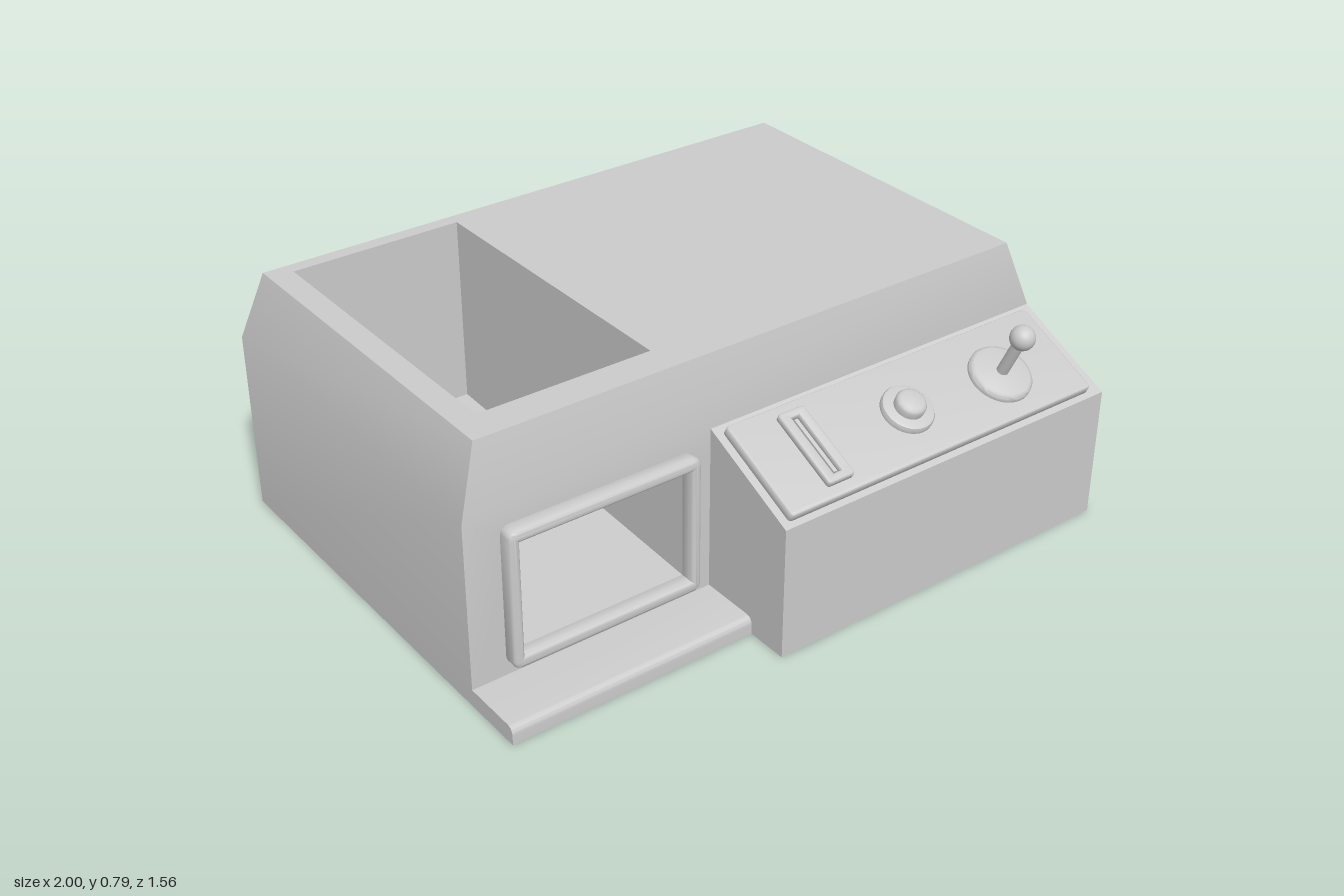
import * as THREE from 'three';
import { mergeGeometries, toCreasedNormals } from 'three/addons/utils/BufferGeometryUtils.js';

const grey = new THREE.MeshStandardMaterial({ color: 0xcccccc });

function add(parent, name, geometry, x = 0, y = 0, z = 0) {
  const mesh = new THREE.Mesh(geometry, grey);
  mesh.name = name;
  mesh.position.set(x, y, z);
  parent.add(mesh);
  return mesh;
}

// Four corners, counter-clockwise as seen from the visible side
function quad(a, b, c, d) {
  const g = new THREE.BufferGeometry();
  g.setAttribute('position', new THREE.Float32BufferAttribute([a, b, c, a, c, d].flat(), 3));
  return g;
}

// Flat rectangle [x0, y0, x1, y1] with a rectangular hole
function rectPath(path, [x0, y0, x1, y1], r = 0) {
  if (!r) {
    path.moveTo(x0, y0).lineTo(x1, y0).lineTo(x1, y1).lineTo(x0, y1).closePath();
    return path;
  }
  path.moveTo(x0 + r, y0).lineTo(x1 - r, y0).quadraticCurveTo(x1, y0, x1, y0 + r);
  path.lineTo(x1, y1 - r).quadraticCurveTo(x1, y1, x1 - r, y1);
  path.lineTo(x0 + r, y1).quadraticCurveTo(x0, y1, x0, y1 - r);
  path.lineTo(x0, y0 + r).quadraticCurveTo(x0, y0, x0 + r, y0);
  return path;
}

function holedRect(outer, hole, r = 0) {
  const s = rectPath(new THREE.Shape(), outer, r);
  s.holes.push(rectPath(new THREE.Path(), hole));
  return s;
}

function plain(g) {
  const p = g.toNonIndexed();
  p.deleteAttribute('uv');
  p.deleteAttribute('normal');
  return p;
}

function bevelled(shape, height, bevel) {
  const g = new THREE.ExtrudeGeometry(shape, {
    depth: height - bevel, bevelThickness: bevel, bevelSize: bevel,
    bevelOffset: -bevel, bevelSegments: 4, curveSegments: 6,
  });
  return toCreasedNormals(g, 0.6);
}

// Side profile in (z, y), extruded from x0 to x1
function alongX(shape, x0, x1) {
  const g = new THREE.ExtrudeGeometry(shape, { depth: x1 - x0, bevelEnabled: false, curveSegments: 8 });
  g.rotateY(-Math.PI / 2).translate(x1, 0, 0);
  return toCreasedNormals(g, 0.6);
}

function lathe(points) {
  const g = new THREE.LatheGeometry(points.map(([r, y]) => new THREE.Vector2(r, y)), 40);
  return toCreasedNormals(g, 0.7);
}

// Cabinet shell with tapered top, prize shaft and delivery opening
function cabinetGeometry() {
  const H = 0.785, S = 0.578, B = -0.778, F = 0.45;
  const tb = -0.735, tf = 0.41, tx = 0.93;
  const x0 = -0.855, x1 = -0.305, sb = -0.69, sf = 0.305;
  const low = 0.13, lowBack = 0.18, wy = 0.49;
  const floorY = (z) => low + (lowBack - low) * (F - z) / (F - sb);

  const front = new THREE.ShapeGeometry(holedRect([-1, 0, 1, S], [x0, low, x1, wy]));
  front.translate(0, 0, F);
  const top = new THREE.ShapeGeometry(holedRect([-tx, -tf, tx, -tb], [x0, -sf, x1, -sb]));
  top.rotateX(-Math.PI / 2).translate(0, H, 0);

  const parts = [plain(front), plain(top)];
  // Outer walls and tapered band
  const base = [[-1, F], [1, F], [1, B], [-1, B]];
  const rim = [[-tx, tf], [tx, tf], [tx, tb], [-tx, tb]];
  for (let i = 0; i < 4; i++) {
    const j = (i + 1) % 4;
    const at = ([x, z], y) => [x, y, z];
    if (i > 0) parts.push(quad(at(base[i], 0), at(base[j], 0), at(base[j], S), at(base[i], S)));
    parts.push(quad(at(base[i], S), at(base[j], S), at(rim[j], H), at(rim[i], H)));
  }
  parts.push(
    // Underside
    quad([-1, 0, B], [1, 0, B], [1, 0, F], [-1, 0, F]),
    // Sloping chute floor
    quad([x0, low, F], [x1, low, F], [x1, lowBack, sb], [x0, lowBack, sb]),
    // Shaft back and front walls
    quad([x0, lowBack, sb], [x1, lowBack, sb], [x1, H, sb], [x0, H, sb]),
    quad([x1, wy, sf], [x0, wy, sf], [x0, H, sf], [x1, H, sf]),
    // Shaft side walls
    quad([x0, floorY(sf), sf], [x0, lowBack, sb], [x0, H, sb], [x0, H, sf]),
    quad([x1, lowBack, sb], [x1, floorY(sf), sf], [x1, H, sf], [x1, H, sb]),
    // Sides and ceiling of the delivery opening
    quad([x0, low, F], [x0, floorY(sf), sf], [x0, wy, sf], [x0, wy, F]),
    quad([x1, floorY(sf), sf], [x1, low, F], [x1, wy, F], [x1, wy, sf]),
    quad([x0, wy, sf], [x1, wy, sf], [x1, wy, F], [x0, wy, F]),
  );
  return toCreasedNormals(mergeGeometries(parts), 0.6);
}

export function createModel() {
  const model = new THREE.Group();
  model.name = 'cabinetBase';
  add(model, 'cabinet', cabinetGeometry());

  // Rounded frame around the delivery opening
  const frame = holedRect([-0.89, 0.09, -0.27, 0.53], [-0.855, 0.13, -0.305, 0.49], 0.03);
  add(model, 'openingFrame', bevelled(frame, 0.045, 0.014), 0, 0, 0.45);

  // Front step with a rounded nose
  const step = new THREE.Shape();
  step.moveTo(0.44, 0).lineTo(0.645, 0).lineTo(0.645, 0.03);
  step.quadraticCurveTo(0.645, 0.055, 0.62, 0.055).lineTo(0.44, 0.055);
  add(model, 'frontStep', alongX(step, -1, -0.21));

  // Control console
  const console = new THREE.Shape();
  console.moveTo(0.45, 0).lineTo(0.778, 0).lineTo(0.778, 0.42).lineTo(0.45, 0.575);
  add(model, 'console', alongX(console, -0.21, 1));

  // Everything on the sloping console top shares one tilted group
  const panel = new THREE.Group();
  panel.name = 'controlPanel';
  panel.position.set(0, 0.495, 0.615);
  panel.rotation.x = Math.atan2(0.155, 0.328);
  model.add(panel);

  const plate = rectPath(new THREE.Shape(), [-0.185, -0.16, 0.955, 0.16], 0.012);
  add(panel, 'panelPlate', bevelled(plate, 0.03, 0.008).rotateX(-Math.PI / 2));

  const slot = holedRect([-0.046, -0.125, 0.046, 0.125], [-0.014, -0.1, 0.014, 0.1], 0.01);
  add(panel, 'coinSlot', bevelled(slot, 0.02, 0.006).rotateX(-Math.PI / 2), 0.01, 0.03, 0);
  add(panel, 'coinSlotBar', new THREE.BoxGeometry(0.012, 0.012, 0.19), 0.01, 0.036, 0);

  add(panel, 'buttonBase', lathe([[0.08, 0], [0.08, 0.012], [0.077, 0.018], [0.07, 0.021], [0, 0.021]]), 0.345, 0.03, 0.005);
  add(panel, 'button', lathe([[0.046, 0], [0.046, 0.02], [0.042, 0.028], [0.034, 0.032], [0, 0.034]]), 0.345, 0.05, 0.005);

  // Joystick
  const stick = new THREE.Group();
  stick.name = 'joystick';
  stick.position.set(0.7, 0.03, 0.015);
  panel.add(stick);
  add(stick, 'joystickBase', lathe([[0.098, 0], [0.098, 0.012], [0.094, 0.019], [0.085, 0.023], [0, 0.026]]));
  add(stick, 'joystickShaft', new THREE.CylinderGeometry(0.018, 0.018, 0.15, 24), 0, 0.095, 0);
  add(stick, 'joystickBall', new THREE.SphereGeometry(0.038, 32, 20), 0, 0.175, 0);

  return model;
}
